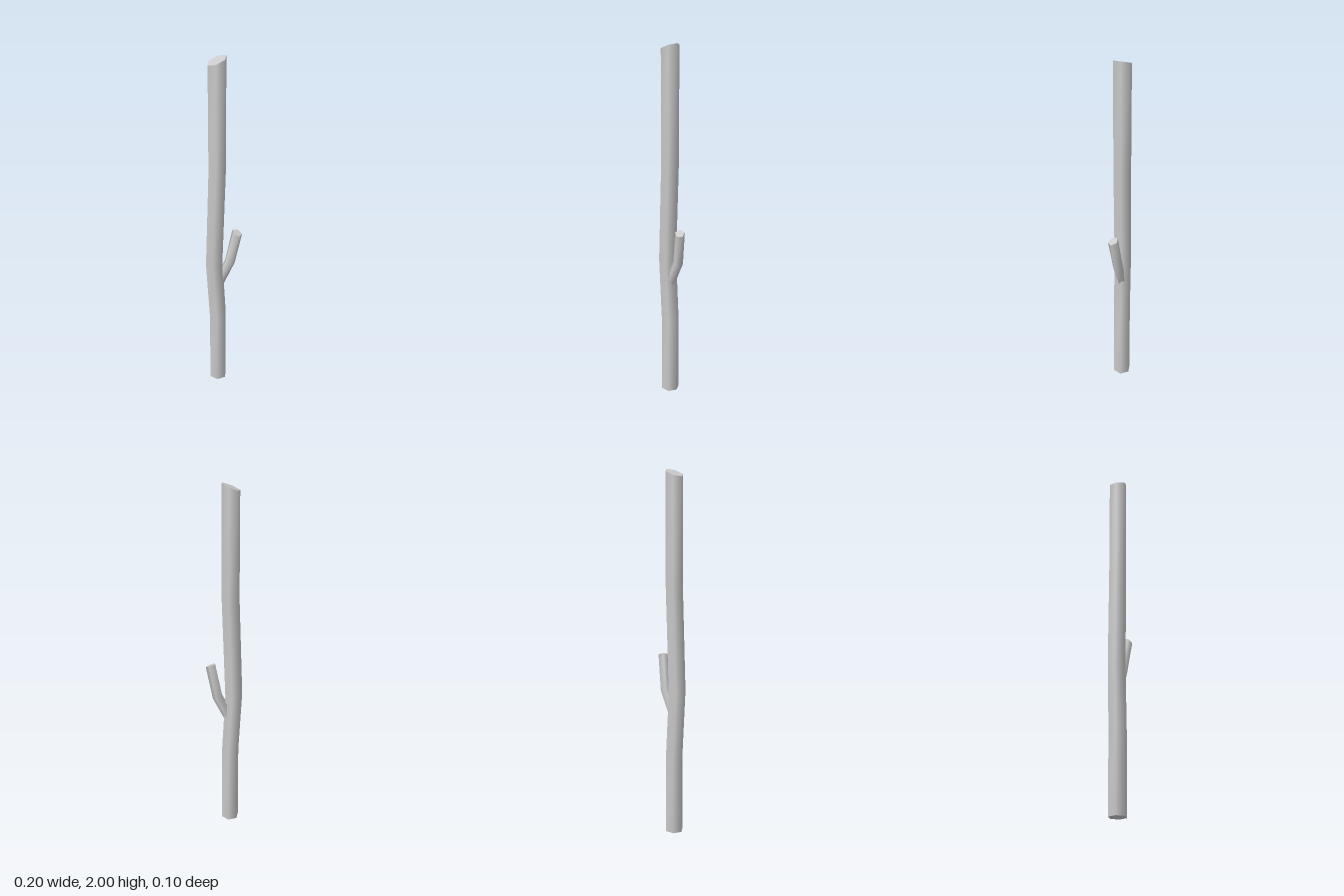
import * as THREE from 'three';

const material = new THREE.MeshStandardMaterial({ color: 0xcccccc });

// Skins a limb through polygon rings; each ring may tilt along x and z.
// The sides are smooth, the cut ends flat.
function limb(name, sides, startAngle, rings) {
  const positions = [], index = [];
  const loops = rings.map(({ at: [x, y, z], r, tilt: [tx, tz] = [0, 0] }) =>
    Array.from({ length: sides }, (_, i) => {
      const a = THREE.MathUtils.degToRad(startAngle) + (i / sides) * Math.PI * 2;
      const dx = r * Math.cos(a), dz = r * Math.sin(a);
      return [x + dx, y + tx * dx + tz * dz, z + dz];
    }));

  // Side walls
  loops.forEach((loop) => loop.forEach((p) => positions.push(...p)));
  for (let k = 0; k < loops.length - 1; k++) {
    for (let i = 0; i < sides; i++) {
      const a = k * sides + i, b = k * sides + ((i + 1) % sides);
      index.push(a, a + sides, b, b, a + sides, b + sides);
    }
  }

  // End caps on their own vertices
  [loops[0], loops[loops.length - 1]].forEach((loop, top) => {
    const base = positions.length / 3;
    loop.forEach((p) => positions.push(...p));
    for (let i = 1; i < sides - 1; i++) {
      if (top) index.push(base, base + i + 1, base + i);
      else index.push(base, base + i, base + i + 1);
    }
  });

  const geometry = new THREE.BufferGeometry();
  geometry.setAttribute('position', new THREE.Float32BufferAttribute(positions, 3));
  geometry.setIndex(index);
  geometry.computeVertexNormals();
  const mesh = new THREE.Mesh(geometry, material);
  mesh.name = name;
  return mesh;
}

export function createModel() {
  const group = new THREE.Group();
  group.name = 'branchedStick';

  // Six-sided main stem, bowed at the fork, with a slanted cut on top
  group.add(limb('stem', 6, -10, [
    { at: [-0.032, 0, -0.002], r: 0.05 },
    { at: [-0.032, 0.45, -0.002], r: 0.05 },
    { at: [-0.052, 0.81, 0], r: 0.05 },
    { at: [-0.032, 1.38, -0.003], r: 0.05 },
    { at: [-0.031, 1.98, -0.003], r: 0.05, tilt: [0.41, 0] },
  ]));

  // Five-sided side shoot, rooted inside the stem
  group.add(limb('sideShoot', 5, 7, [
    { at: [-0.022, 0.68, -0.001], r: 0.026, tilt: [-0.5, 0] },
    { at: [0.038, 0.805, -0.003], r: 0.028, tilt: [-0.4, -0.05] },
    { at: [0.074, 0.996, 0.013], r: 0.028, tilt: [-0.35, -0.3] },
  ]));

  return group;
}
